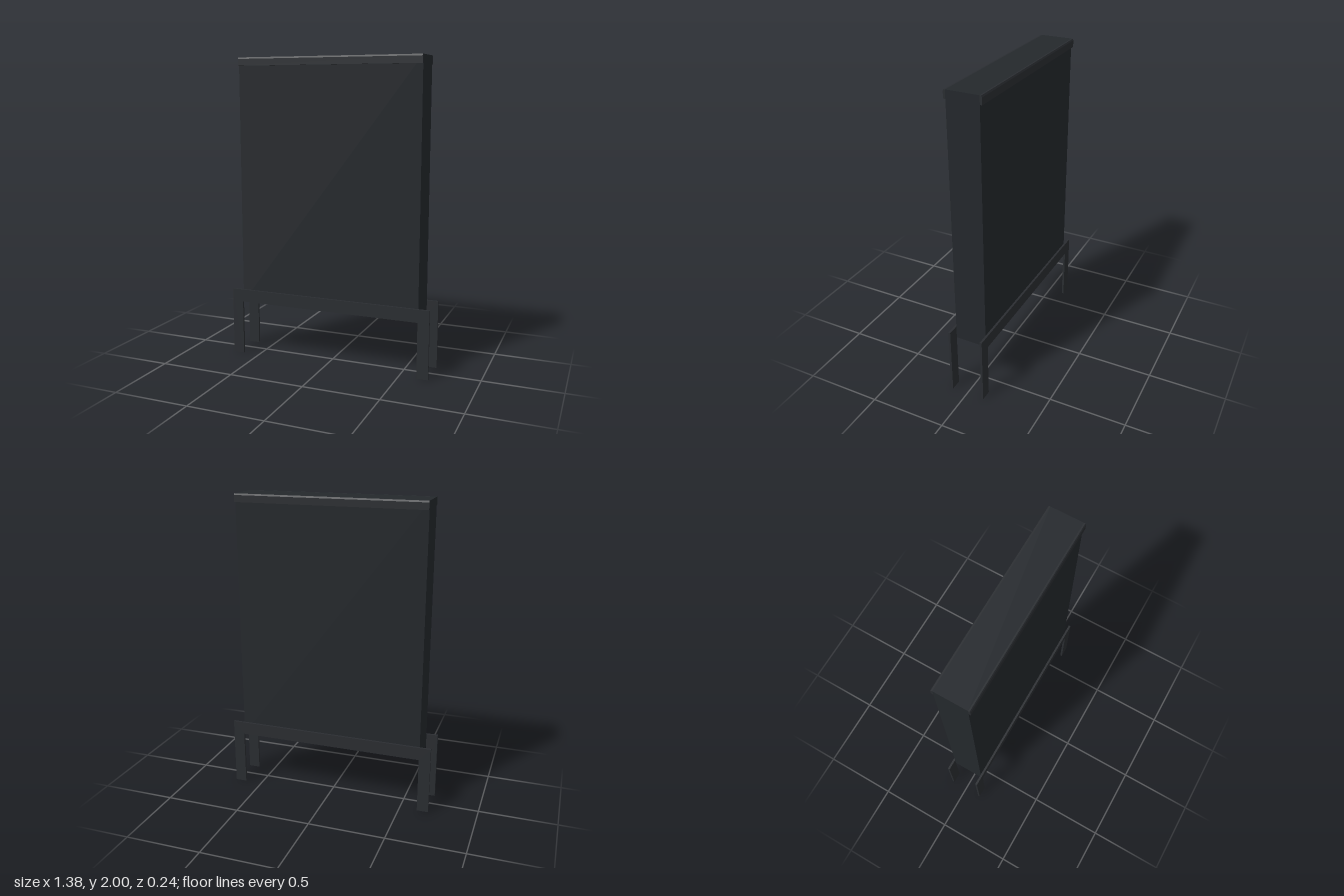
import * as THREE from 'three';

const W = 0.615;      // half width of the panel
const D = 0.104;      // half depth of the panel
const T = 0.014;      // thickness of frame and trim
const BASE = 0.365;   // underside of the panel
const RAIL_TOP = 0.45;
const LEG_X = 0.69;   // outer edge of the legs

const panelMat = new THREE.MeshStandardMaterial({ color: 0x24282c });
const frameMat = new THREE.MeshStandardMaterial({ color: 0x2a2d31 });

// Flat plate from a list of [x, y] corners, extruded by depth
function plate(points, depth, name) {
  const shape = new THREE.Shape(points.map(([x, y]) => new THREE.Vector2(x, y)));
  const geo = new THREE.ExtrudeGeometry(shape, { depth, bevelEnabled: false });
  const mesh = new THREE.Mesh(geo, frameMat);
  mesh.name = name;
  return mesh;
}

// One face's hardware: bridge-shaped stand and chamfered top trim
function createSide(name) {
  const side = new THREE.Group();
  side.name = name;

  const stand = plate([
    [-LEG_X, 0], [-W, 0], [-W, BASE], [W, BASE], [W, 0],
    [LEG_X, 0], [LEG_X, RAIL_TOP], [-LEG_X, RAIL_TOP],
  ], T, 'legFrame');
  stand.position.z = D;
  side.add(stand);

  // Profile is drawn in z-y, then turned to run along x
  const trim = plate([
    [-D - T, 1.947], [-D, 1.947], [-D, 2], [-D - T + 0.005, 2], [-D - T, 1.99],
  ], 2 * W, 'topTrim');
  trim.rotation.y = Math.PI / 2;
  trim.position.x = -W;
  side.add(trim);
  return side;
}

export function createModel() {
  const model = new THREE.Group();
  model.name = 'standingPanel';

  // Main slab
  const panel = new THREE.Mesh(new THREE.BoxGeometry(2 * W, 2 - BASE, 2 * D), panelMat);
  panel.name = 'panel';
  panel.position.y = (2 + BASE) / 2;
  model.add(panel);

  // Same hardware on front and back
  const front = createSide('frontHardware');
  const back = createSide('backHardware');
  back.rotation.y = Math.PI;
  model.add(front, back);
  return model;
}
